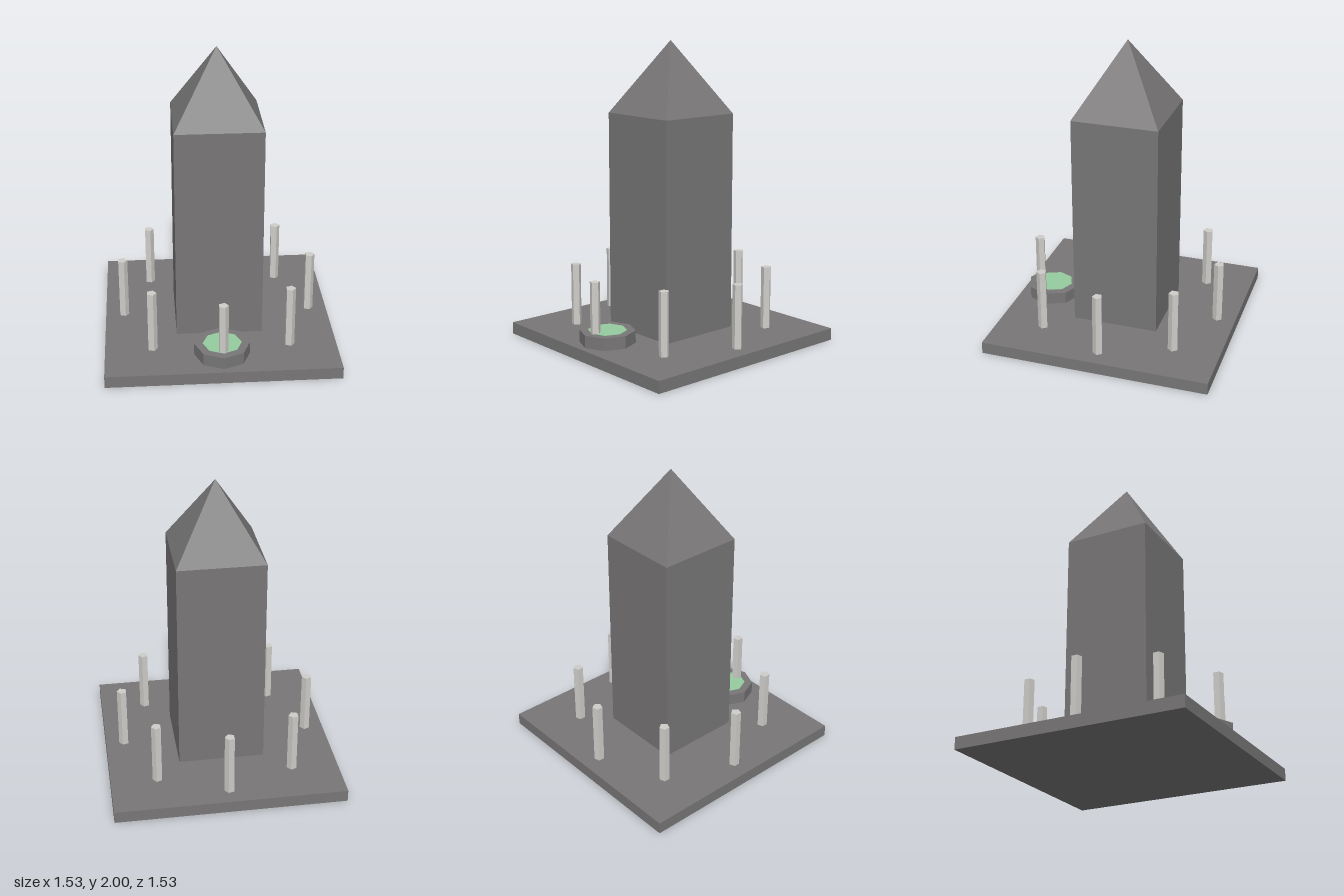
import * as THREE from 'three';

export function createModel() {
  const model = new THREE.Group();
  const material = (name, color) => {
    const m = new THREE.MeshStandardMaterial({ color, flatShading: true });
    m.name = name;
    return m;
  };
  const stone = material('grey stone', 0x787676);
  const paleStone = material('pale stone', 0xcfcdc9);
  const water = material('green water', 0x96cca0);

  const add = (name, geometry, mat, x, y, z) => {
    const mesh = new THREE.Mesh(geometry, mat);
    mesh.name = name;
    mesh.position.set(x, y, z);
    model.add(mesh);
    return mesh;
  };

  // Square base slab and tower
  const baseTop = 0.08, towerTop = 1.525, half = 0.288;
  add('base', new THREE.BoxGeometry(1.53, baseTop, 1.53), stone, 0, baseTop / 2, 0);
  add('tower', new THREE.BoxGeometry(half * 2, towerTop - baseTop, half * 2), stone,
    0, (towerTop + baseTop) / 2, 0);

  // Pyramid roof, turned so its sides line up with the tower
  const roof = new THREE.ConeGeometry(half * Math.SQRT2, 2 - towerTop, 4).rotateY(Math.PI / 4);
  add('roof', roof, stone, 0, (2 + towerTop) / 2, 0);

  // Octagonal basin with a thin sheet of water
  const basinTop = 0.162, basinZ = 0.543;
  add('basin', new THREE.CylinderGeometry(0.183, 0.183, basinTop - baseTop, 8), stone,
    0, (basinTop + baseTop) / 2, basinZ);
  add('water', new THREE.CylinderGeometry(0.128, 0.128, 0.004, 8), water, 0, basinTop, basinZ);

  // Ring of eight five-sided posts, all facing the same way
  const postTop = 0.5;
  const post = new THREE.CylinderGeometry(0.034, 0.034, postTop - baseTop, 5).rotateY(Math.PI / 2);
  for (let i = 0; i < 8; i++) {
    const a = (i * Math.PI) / 4;
    add('post' + (i + 1), post, paleStone,
      Math.cos(a) * 0.64, (postTop + baseTop) / 2, Math.sin(a) * 0.64);
  }
  return model;
}
